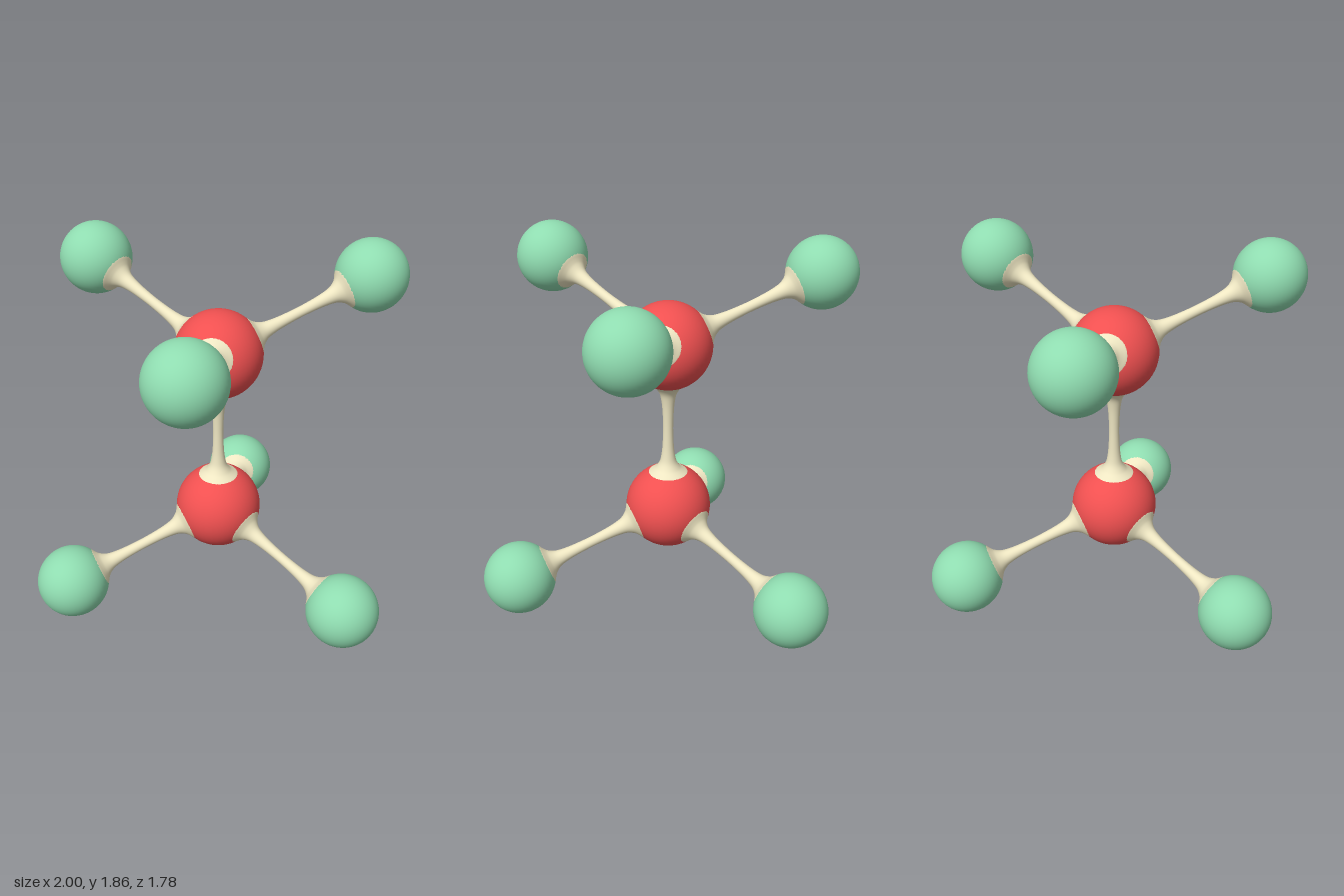
import * as THREE from 'three';

const CORE_R = 0.222, OUTER_R = 0.186, RIM = 0.101;

// Flare of a bond: distance from the rim, radius
const FLARE = [[-0.012, 0.112], [0, RIM], [0.014, 0.08], [0.03, 0.062], [0.06, 0.044], [0.1, 0.035], [0.16, 0.029]];

const coreMat = new THREE.MeshStandardMaterial({ color: 0xf05050 });
const outerMat = new THREE.MeshStandardMaterial({ color: 0x8fdcb0 });
const bondMat = new THREE.MeshStandardMaterial({ color: 0xeee6c2, side: THREE.DoubleSide });

function ball(name, radius, material, position) {
  const mesh = new THREE.Mesh(new THREE.SphereGeometry(radius, 48, 32), material);
  mesh.name = name;
  mesh.position.copy(position);
  return mesh;
}

// Slim rod from ball a to ball b, flaring where it meets each surface
function bond(name, a, radiusA, b, radiusB) {
  const axis = b.clone().sub(a);
  const start = Math.sqrt(radiusA ** 2 - RIM ** 2);
  const end = axis.length() - Math.sqrt(radiusB ** 2 - RIM ** 2);
  const profile = new THREE.SplineCurve([
    ...FLARE.map(([d, r]) => new THREE.Vector2(r, start + d)),
    new THREE.Vector2(0.026, (start + end) / 2),
    ...FLARE.map(([d, r]) => new THREE.Vector2(r, end - d)).reverse(),
  ]);
  const mesh = new THREE.Mesh(new THREE.LatheGeometry(profile.getPoints(56), 32), bondMat);
  mesh.name = name;
  mesh.position.copy(a);
  mesh.quaternion.setFromUnitVectors(new THREE.Vector3(0, 1, 0), axis.normalize());
  return mesh;
}

// Central ball with three outer balls spaced evenly around it
function cluster(name, center, outerY, startAngle) {
  const group = new THREE.Group();
  group.name = name;
  group.add(ball('centralBall', CORE_R, coreMat, center));
  for (let i = 0; i < 3; i++) {
    const angle = startAngle + (i * Math.PI * 2) / 3;
    const p = new THREE.Vector3(0.814 * Math.cos(angle), outerY, 0.814 * Math.sin(angle));
    group.add(ball('outerBall', OUTER_R, outerMat, p));
    group.add(bond('outerBond', center, CORE_R, p, OUTER_R));
  }
  return group;
}

export function createModel() {
  const model = new THREE.Group();
  model.name = 'ballAndStickModel';
  const lower = new THREE.Vector3(0, 0.477, 0);
  const upper = new THREE.Vector3(0, 1.381, 0);
  // Staggered clusters joined by the vertical bond
  model.add(cluster('lowerCluster', lower, 0.186, 0));
  model.add(cluster('upperCluster', upper, 1.672, Math.PI));
  model.add(bond('centralBond', lower, CORE_R, upper, CORE_R));
  return model;
}
